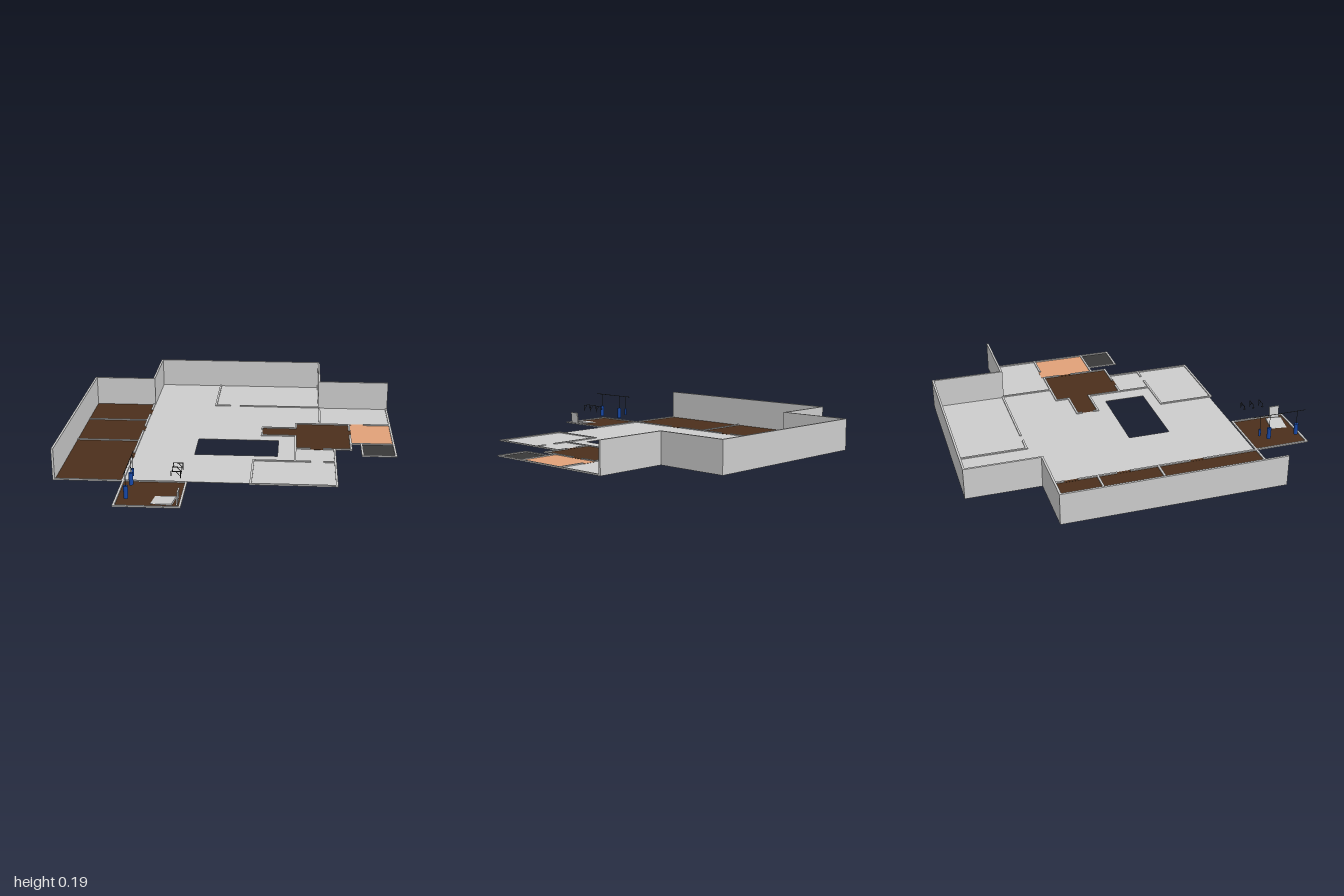
import * as THREE from 'three';

const mat = (color) => new THREE.MeshStandardMaterial({ color, side: THREE.DoubleSide });
const BASE = 0.01, FLOOR = 0.012, CURB = 0.018, TOP = 0.19, T = 0.012;

export function createModel() {
  const model = new THREE.Group();
  const grey = mat(0xcccccc), brown = mat(0x4b2f1b), tan = mat(0xe0a078);
  const dark = mat(0x383838), blue = mat(0x1648a8), black = mat(0x303030);

  const add = (name, geometry, material, x = 0, y = 0, z = 0, parent = model) => {
    const mesh = new THREE.Mesh(geometry, material);
    mesh.name = name;
    mesh.position.set(x, y, z);
    parent.add(mesh);
    return mesh;
  };
  // box between two corners on the plan
  const slab = (name, [x0, z0, x1, z1], y0, y1, material) =>
    add(name, new THREE.BoxGeometry(x1 - x0, y1 - y0, z1 - z0), material,
      (x0 + x1) / 2, (y0 + y1) / 2, (z0 + z1) / 2);
  // straight wall along a centre line
  const wall = (name, [x0, z0, x1, z1], top) => slab(name,
    [Math.min(x0, x1) - T / 2, Math.min(z0, z1) - T / 2, Math.max(x0, x1) + T / 2, Math.max(z0, z1) + T / 2],
    BASE, top, grey);

  // main floor with the open courtyard
  const outline = [[-0.56, -0.994], [0.506, -0.994], [0.506, -0.574], [0.936, -0.574], [0.936, -0.268],
    [0.36, -0.268], [0.36, -0.185], [0.158, -0.185], [0.158, -0.055], [0.36, -0.055], [0.36, 0.147],
    [0.588, 0.147], [0.588, 0.672], [0.12, 0.672], [0.12, 0.662], [-0.56, 0.662]];
  const shape = new THREE.Shape(outline.map(([x, z]) => new THREE.Vector2(x, -z)));
  shape.holes.push(new THREE.Path([[-0.215, 0.025], [0.26, 0.025], [0.26, 0.27], [-0.215, 0.27]]
    .map(([x, z]) => new THREE.Vector2(x, -z))));
  const floor = new THREE.ExtrudeGeometry(shape, { depth: FLOOR - BASE, bevelEnabled: false });
  floor.rotateX(-Math.PI / 2);
  add('mainFloor', floor, grey, 0, BASE, 0);

  // coloured room floors
  const rooms = [
    ['sideRoomFloor', [-0.94, -0.57, -0.56, 0.67], brown],
    ['hallFloor', [0.36, -0.264, 0.685, 0.147], brown],
    ['corridorFloor', [0.158, -0.185, 0.36, -0.055], brown],
    ['tanRoomFloor', [0.685, -0.268, 0.936, 0.053], tan],
    ['darkRoomFloor', [0.745, 0.053, 0.936, 0.236], dark],
    ['gymFloor', [-0.56, 0.668, -0.22, 0.99], brown],
  ];
  for (const [name, rect, m] of rooms) slab(name, rect, BASE, FLOOR, m);

  // door sills
  for (const z of [-0.42, -0.12, 0.31])
    slab('doorSill', [-0.572, z - 0.038, -0.555, z + 0.038], BASE, FLOOR + 0.001, brown);
  slab('doorSill', [0.448, 0.14, 0.522, 0.156], BASE, FLOOR + 0.001, brown);
  slab('doorSill', [0.677, -0.16, 0.693, -0.088], BASE, FLOOR + 0.001, brown);
  slab('doorSill', [0.695, -0.278, 0.775, -0.262], BASE, FLOOR + 0.001, tan);

  // full-height outer walls
  for (const line of [
    [-0.562, -0.994, 0.506, -0.994], [-0.562, -0.994, -0.562, -0.574], [0.506, -0.994, 0.506, -0.574],
    [-0.939, -0.574, -0.562, -0.574], [-0.939, -0.574, -0.939, 0.672], [0.506, -0.574, 0.936, -0.574],
  ]) wall('outerWall', line, TOP);

  // low curbs marking the remaining walls, left open at the doors
  for (const line of [
    // side rooms
    [-0.939, -0.27, -0.565, -0.27], [-0.939, 0.08, -0.565, 0.08], [-0.939, 0.672, -0.565, 0.672],
    [-0.564, -0.574, -0.564, -0.464], [-0.564, -0.376, -0.564, -0.164],
    [-0.564, -0.076, -0.564, 0.266], [-0.564, 0.354, -0.564, 0.672],
    // back rooms
    [-0.16, -0.994, -0.16, -0.574], [-0.16, -0.574, -0.07, -0.574], [0, -0.574, 0.506, -0.574],
    [0.508, -0.574, 0.508, -0.27], [0.936, -0.574, 0.936, 0.236],
    // hall and corridor
    [0.36, -0.264, 0.36, -0.185], [0.36, -0.055, 0.36, 0.335], [0.36, -0.264, 0.685, -0.264],
    [0.685, -0.264, 0.685, -0.166], [0.685, -0.082, 0.685, 0.147],
    [0.36, 0.147, 0.442, 0.147], [0.528, 0.147, 0.685, 0.147],
    [0.158, -0.185, 0.36, -0.185], [0.158, -0.055, 0.36, -0.055], [0.158, -0.185, 0.158, -0.16],
    [0.158, -0.08, 0.158, -0.055],
    // tan and dark rooms
    [0.781, -0.268, 0.936, -0.268], [0.685, 0.053, 0.936, 0.053],
    [0.747, 0.053, 0.747, 0.236], [0.747, 0.236, 0.936, 0.236],
    // front right rooms
    [0.588, 0.147, 0.588, 0.672], [0.125, 0.342, 0.445, 0.342], [0.525, 0.342, 0.588, 0.342],
    [0.125, 0.342, 0.125, 0.672], [0.125, 0.672, 0.588, 0.672],
    // gym
    [-0.56, 0.672, -0.56, 0.99], [-0.22, 0.672, -0.22, 0.99],
    [-0.56, 0.672, -0.22, 0.672], [-0.56, 0.99, -0.22, 0.99],
  ]) wall('curb', line, CURB);

  // punching bags hung from a ceiling rail
  const rod = (name, a, b, r, m = black) => {
    const from = new THREE.Vector3(...a), to = new THREE.Vector3(...b);
    const mesh = add(name, new THREE.CylinderGeometry(r, r, from.distanceTo(to), 6), m);
    mesh.position.copy(from).lerp(to, 0.5);
    mesh.quaternion.setFromUnitVectors(new THREE.Vector3(0, 1, 0), to.sub(from).normalize());
  };
  rod('bagRail', [-0.5, TOP - 0.002, 0.675], [-0.5, TOP - 0.002, 0.995], 0.002);
  for (const [z, r, low] of [[0.945, 0.012, 0.038], [0.775, 0.012, 0.038], [0.716, 0.007, 0.064]]) {
    add('punchingBag', new THREE.CylinderGeometry(r, r, 0.106 - low, 16), blue, -0.5, (0.106 + low) / 2, z);
    rod('bagChain', [-0.5, 0.106, z], [-0.5, TOP - 0.002, z], 0.0015);
  }

  // wall-mounted pull-up arms
  for (const z of [0.83, 0.772, 0.715]) {
    rod('armPost', [-0.23, 0.105, z], [-0.23, 0.145, z], 0.002);
    rod('armBeam', [-0.23, 0.143, z], [-0.28, 0.143, z], 0.002);
    rod('armBrace', [-0.23, 0.115, z], [-0.255, 0.143, z], 0.0015);
    rod('armDrop', [-0.28, 0.143, z], [-0.28, 0.118, z], 0.002);
    rod('armGrip', [-0.28, 0.124, z - 0.006], [-0.28, 0.124, z + 0.006], 0.003);
  }

  // floor mat and leaning panel
  const plate = add('floorMat', new THREE.BoxGeometry(0.114, 0.012, 0.095), grey, -0.312, 0.0115, 0.913);
  plate.rotation.set(0, -0.14, 0.09);
  const panel = add('leaningPanel', new THREE.BoxGeometry(0.008, 0.073, 0.06), grey, -0.235, 0.048, 0.932);
  panel.rotation.z = -0.08;

  return model;
}
